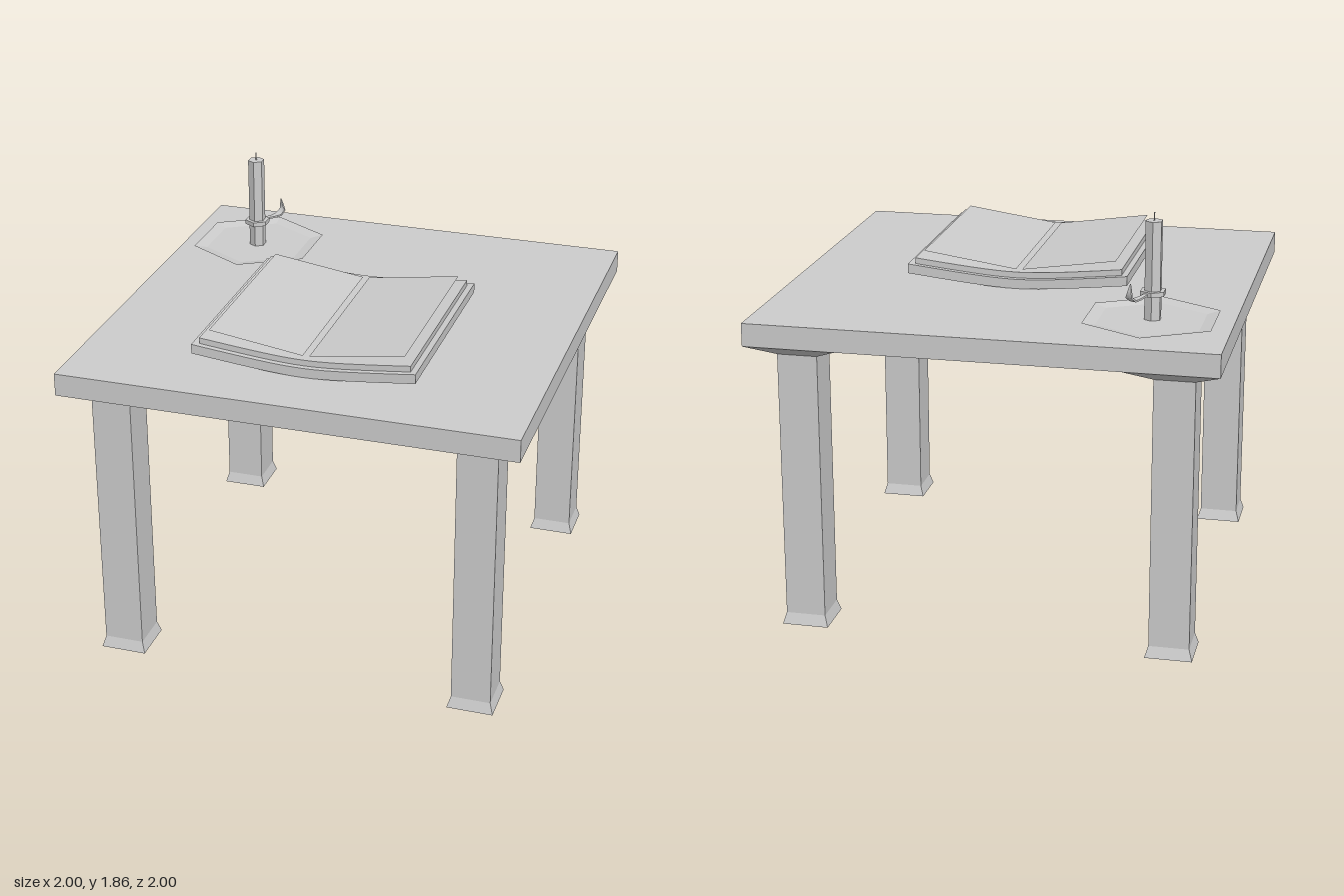
import * as THREE from 'three';

const grey = new THREE.MeshStandardMaterial({ color: 0xcccccc, side: THREE.DoubleSide });
grey.name = 'grey';

function add(parent, name, geometry) {
  const mesh = new THREE.Mesh(geometry, grey);
  mesh.name = name;
  parent.add(mesh);
  return mesh;
}

function group(parent, name, x, z) {
  const g = new THREE.Group();
  g.name = name;
  g.position.set(x, 0, z);
  parent.add(g);
  return g;
}

// Flat-faced tapered prism between two heights
function prism(sides, rBottom, rTop, y0, y1, open = false) {
  const g = new THREE.CylinderGeometry(rTop, rBottom, y1 - y0, sides, 1, open).toNonIndexed();
  g.computeVertexNormals();
  return g.translate(0, (y0 + y1) / 2, 0);
}

// Square prism given by half widths
function post(hBottom, hTop, y0, y1, open) {
  return prism(4, hBottom * Math.SQRT2, hTop * Math.SQRT2, y0, y1, open).rotateY(Math.PI / 4);
}

// Gentle sag of an open book lying on its spine
const sag = (x) => 0.12 * (Math.sqrt(x * x + 0.03) - Math.sqrt(0.03));

function bentSlab(width, depth, y0, y1) {
  const g = new THREE.BoxGeometry(width, y1 - y0, depth, 20, 1, 1);
  g.translate(0, (y0 + y1) / 2, 0);
  const p = g.attributes.position;
  for (let i = 0; i < p.count; i++) p.setY(i, p.getY(i) + sag(p.getX(i)));
  g.computeVertexNormals();
  return g;
}

// Tapering finger grip: stations of reach, height and width along the path
function gripGeometry() {
  const stations = [
    [0.04, 1.513, 0.016], [0.1, 1.507, 0.026], [0.14, 1.508, 0.036],
    [0.165, 1.526, 0.032], [0.161, 1.552, 0.018], [0.156, 1.583, 0.003],
  ];
  const n = stations.length - 1;
  const g = new THREE.BoxGeometry(1, 1, 1, n, 1, 1);
  const p = g.attributes.position;
  for (let i = 0; i < p.count; i++) {
    const k = Math.round((p.getX(i) + 0.5) * n);
    const [s, y, w] = stations[k];
    const a = stations[Math.max(k - 1, 0)];
    const b = stations[Math.min(k + 1, n)];
    const length = Math.hypot(b[0] - a[0], b[1] - a[1]);
    const t = p.getY(i) * (k === n ? 0.002 : 0.008);
    p.setXYZ(i, s - ((b[1] - a[1]) / length) * t, y + ((b[0] - a[0]) / length) * t, p.getZ(i) * w);
  }
  g.computeVertexNormals();
  return g;
}

export function createModel() {
  const model = new THREE.Group();
  model.name = 'tableWithBookAndCandle';

  // Table top
  add(model, 'tableTop', new THREE.BoxGeometry(2, 0.1, 2).translate(0, 1.345, 0));

  // Four legs with flared feet and corner brackets
  for (const x of [-0.8, 0.8]) {
    for (const z of [-0.8, 0.8]) {
      const leg = group(model, 'leg', x, z);
      add(leg, 'foot', post(0.102, 0.087, 0, 0.05));
      add(leg, 'shaft', post(0.087, 0.087, 0.05, 1.235, true));
      add(leg, 'bracket', post(0.087, 0.2, 1.235, 1.295, true));
    }
  }

  // Open book
  const book = group(model, 'book', 0, 0.24);
  add(book, 'cover', bentSlab(0.98, 0.97, 1.396, 1.438));
  add(book, 'pageBlock', bentSlab(0.925, 0.92, 1.438, 1.464));
  for (const side of [-1, 1]) {
    const page = new THREE.PlaneGeometry(0.42, 0.86).rotateX(-Math.PI / 2);
    page.rotateZ(side * 0.145);
    page.translate(side * 0.222, 1.499, 0);
    add(book, side < 0 ? 'rightPage' : 'leftPage', page);
  }

  // Candle and holder
  const candle = group(model, 'candleHolder', -0.657, -0.58);
  const dish = group(candle, 'dish', 0.002, -0.01);
  add(dish, 'dishBase', new THREE.CircleGeometry(0.25, 6, Math.PI / 2).rotateX(-Math.PI / 2).translate(0, 1.399, 0));
  add(dish, 'dishRim', prism(6, 0.25, 0.31, 1.399, 1.41, true));
  add(candle, 'candle', prism(6, 0.038, 0.038, 1.397, 1.82));
  add(candle, 'collar', prism(6, 0.057, 0.057, 1.504, 1.524));
  add(candle, 'wick', prism(6, 0.003, 0.003, 1.82, 1.855));
  add(candle, 'grip', gripGeometry()).rotation.y = Math.atan2(0.89, 0.46);

  return model;
}
